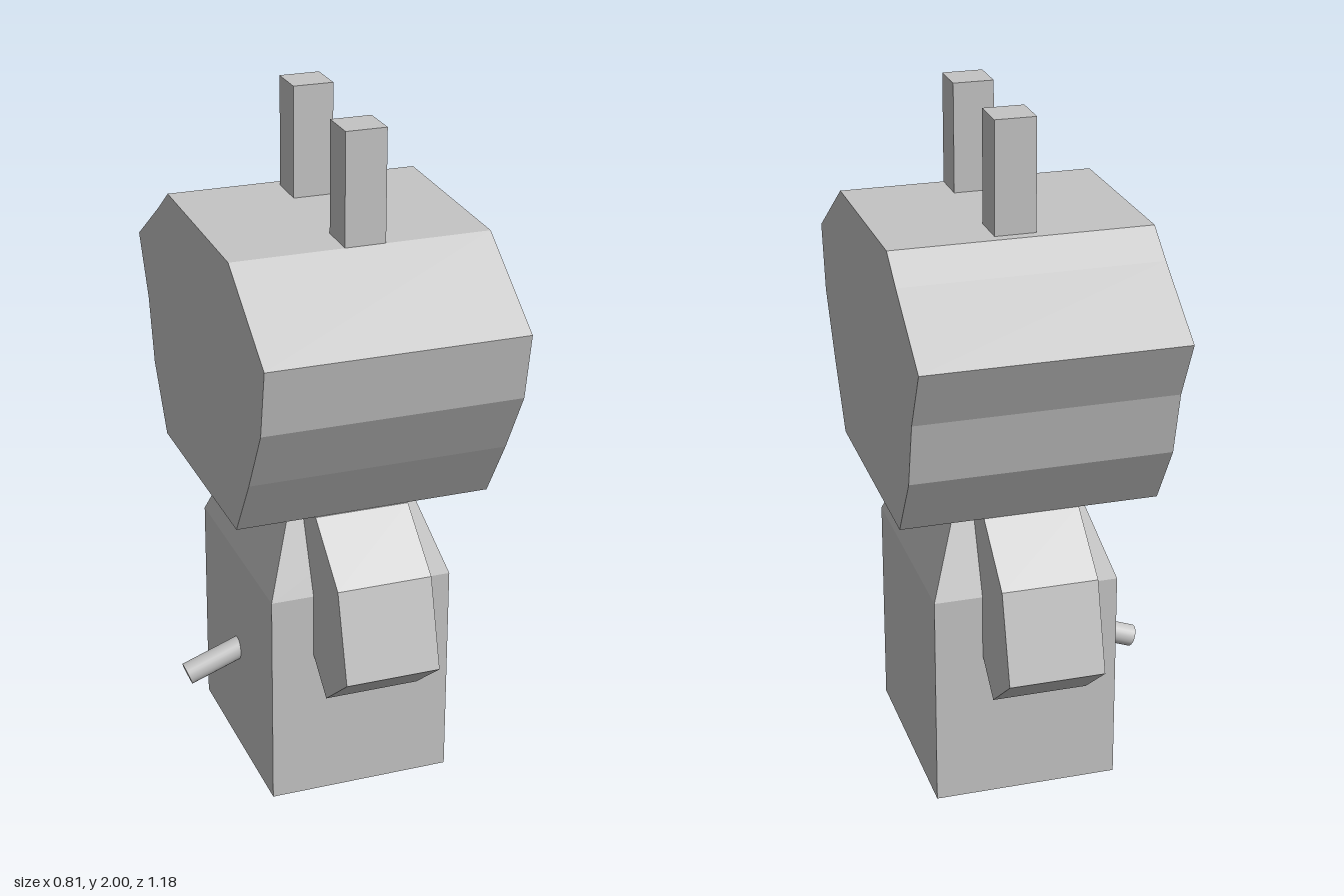
import * as THREE from 'three';
import { ConvexGeometry } from 'three/addons/geometries/ConvexGeometry.js';

const CX = 0.035; // the body sits slightly off centre because of the side peg

export function createModel() {
  const model = new THREE.Group();
  const grey = new THREE.MeshStandardMaterial({ color: 0xc4c4c4 });
  grey.name = 'grey';

  const add = (name, geometry, x = 0, y = 0, z = 0) => {
    const mesh = new THREE.Mesh(geometry, grey);
    mesh.name = name;
    mesh.position.set(x, y, z);
    model.add(mesh);
    return mesh;
  };

  // Extrudes a [z, y] side outline across x from x0 to x1
  const slab = (profile, x0, x1) => {
    const shape = new THREE.Shape(profile.map(([z, y]) => new THREE.Vector2(-z, y)));
    return new THREE.ExtrudeGeometry(shape, { depth: x1 - x0, bevelEnabled: false })
      .rotateY(Math.PI / 2)
      .translate(x0, 0, 0);
  };

  // Head: faceted side outline
  add('head', slab([
    [0.30, 1.67], [0.59, 1.475], [0.555, 1.28], [0.45, 1.09], [0.335, 0.905],
    [-0.34, 0.902], [-0.455, 1.09], [-0.50, 1.28], [-0.585, 1.455],
    [-0.355, 1.61], [-0.26, 1.68],
  ], -0.34, 0.405));

  // Posts on top of the head
  add('frontPost', new THREE.BoxGeometry(0.117, 0.34, 0.117), 0.043, 1.82, 0.241);
  add('backPost', new THREE.BoxGeometry(0.117, 0.34, 0.117), 0.043, 1.83, -0.17);

  // Body: straight box with tapered shoulders
  const points = [];
  for (const [y, hx, hz] of [[0, 0.27, 0.318], [0.645, 0.27, 0.318], [0.868, 0.19, 0.228]]) {
    for (const sx of [-1, 1]) {
      for (const sz of [-1, 1]) points.push(new THREE.Vector3(CX + sx * hx, y, sz * hz));
    }
  }
  add('body', new ConvexGeometry(points));

  // Neck: shallow flared collar under the head
  const neck = add('neck', new THREE.CylinderGeometry(0.26, 0.19, 0.05, 32), CX, 0.885, 0);
  neck.scale.z = 1.12;

  // Arms: front and back, mirrored
  for (const [name, s] of [['frontArm', 1], ['backArm', -1]]) {
    const outline = [
      [0.21, 0.85], [0.265, 0.903], [0.335, 0.903], [0.515, 0.76],
      [0.59, 0.505], [0.425, 0.372], [0.30, 0.47],
    ];
    add(name, slab(outline.map(([z, y]) => [s * z, y]), -0.11, 0.165));
  }

  // Slanted peg on the right side
  const peg = add('sidePeg', new THREE.CylinderGeometry(0.033, 0.033, 0.22, 24), -0.29, 0.304, -0.007);
  peg.rotation.z = -Math.PI / 2 + 0.36;

  return model;
}
